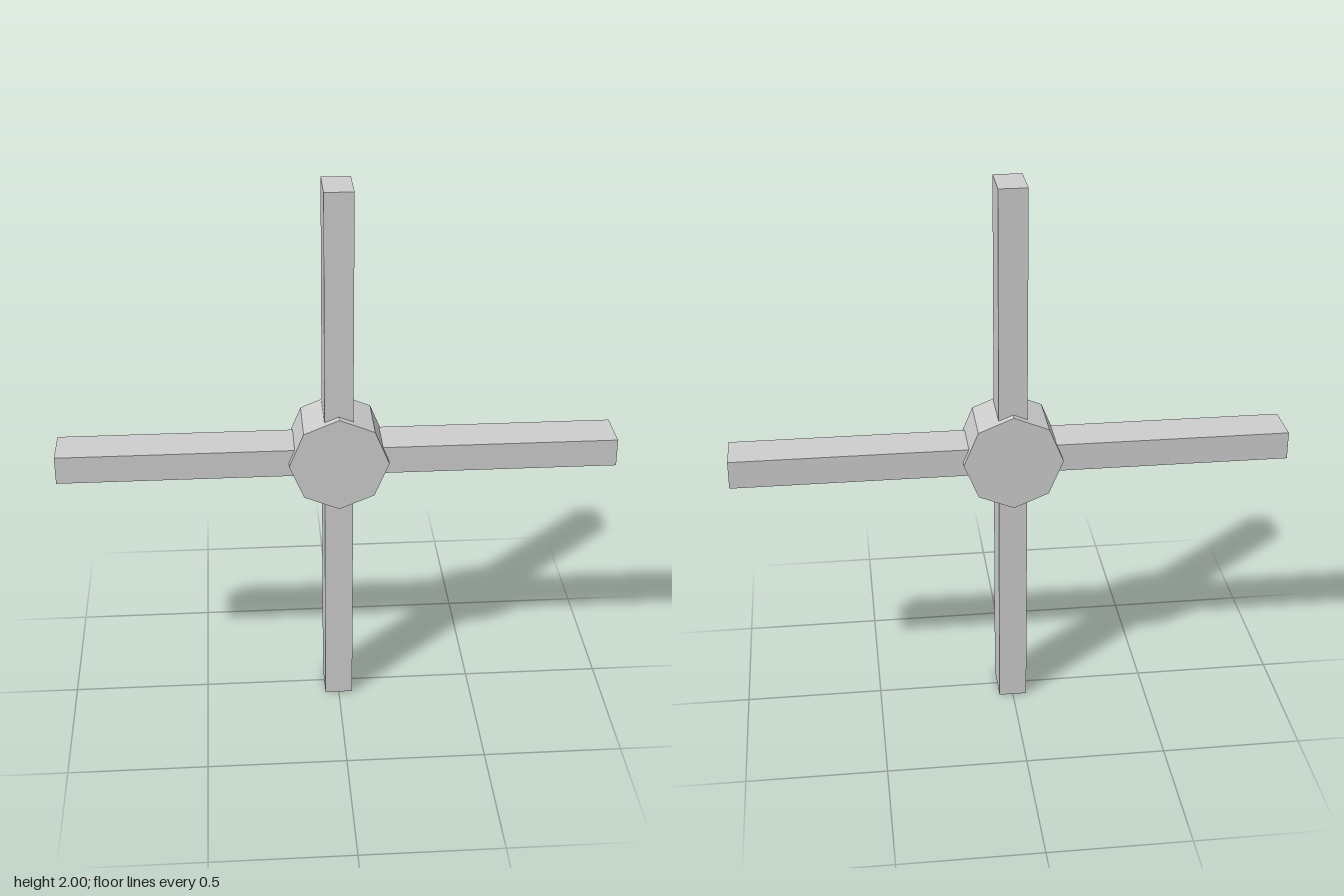
import * as THREE from 'three';

export function createModel() {
  const model = new THREE.Group();
  model.name = 'fourArmCross';
  const grey = new THREE.MeshStandardMaterial({ color: 0xcccccc });
  grey.name = 'light grey';

  // Octagonal hub with its axis along z and corners on the arm axes
  const hubGeometry = new THREE.CylinderGeometry(0.178, 0.178, 0.216, 8).toNonIndexed();
  hubGeometry.rotateX(Math.PI / 2);
  hubGeometry.computeVertexNormals();
  const hub = new THREE.Mesh(hubGeometry, grey);
  hub.name = 'hub';
  hub.position.y = 1;
  model.add(hub);

  // Four equal arms, each starting inside the hub
  const inner = 0.12;
  const armGeometry = new THREE.BoxGeometry(1 - inner, 0.102, 0.162);
  armGeometry.translate((1 + inner) / 2, 0, 0);
  ['leftArm', 'topArm', 'rightArm', 'bottomArm'].forEach((name, i) => {
    const arm = new THREE.Mesh(armGeometry, grey);
    arm.name = name;
    arm.position.y = 1;
    arm.rotation.z = i * Math.PI / 2;
    model.add(arm);
  });

  return model;
}
